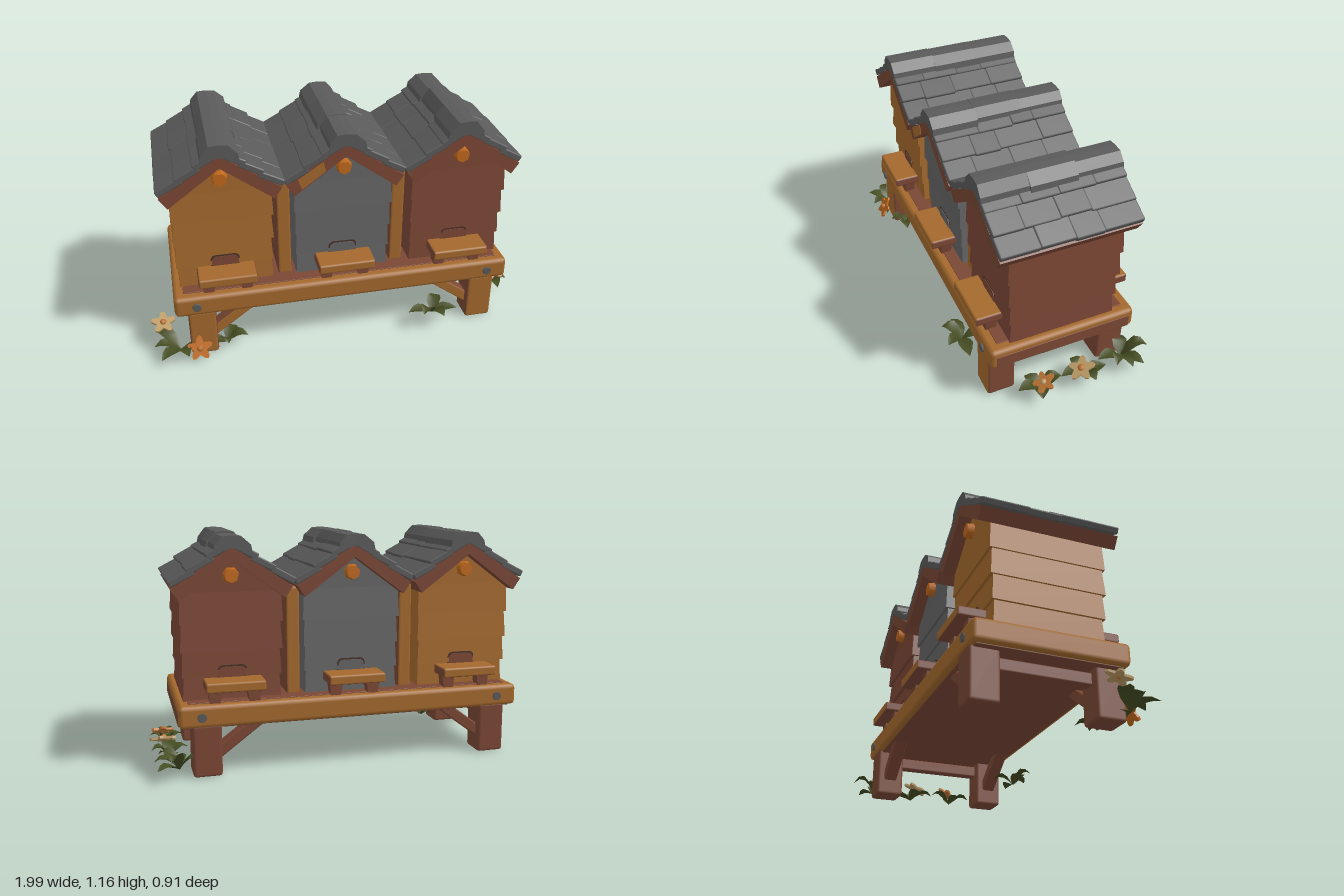
import * as THREE from 'three';
import { RoundedBoxGeometry } from 'three/addons/geometries/RoundedBoxGeometry.js';

const mat = (name, color, extra = {}) => {
  const m = new THREE.MeshStandardMaterial({ color, ...extra });
  m.name = name;
  return m;
};

export function createModel() {
  const ochre = mat('ochre wood', 0xa4692d);
  const brown = mat('red brown wood', 0x7b4735);
  const grey = mat('grey wood', 0x656565);
  const slate = mat('roof grey', 0x5a5a5a);
  const orange = mat('orange knob', 0xc0691c);
  const dark = mat('dark opening', 0x4a3328);
  const leafGreen = mat('leaf green', 0x454d22, { side: THREE.DoubleSide });
  const tan = mat('tan petals', 0xbd9c66);
  const rust = mat('orange petals', 0xbd7434);

  const model = new THREE.Group();
  model.name = 'hiveStand';
  const stand = new THREE.Group();
  stand.name = 'benchAndHives';
  stand.position.z = -0.01;
  model.add(stand);

  let seed = 7;
  const jitter = (a) => {
    seed = (seed * 16807) % 2147483647;
    return (seed / 2147483647 - 0.5) * 2 * a;
  };
  const add = (parent, name, geo, material, x = 0, y = 0, z = 0) => {
    const m = new THREE.Mesh(geo, material);
    m.name = name;
    m.position.set(x, y, z);
    parent.add(m);
    return m;
  };
  const block = (parent, name, w, h, d, material, x, y, z, r = 0.012) =>
    add(parent, name, new RoundedBoxGeometry(w, h, d, 1, r), material, x, y, z);
  const prism = (points, depth) => {
    const shape = new THREE.Shape(points.map(([x, y]) => new THREE.Vector2(x, y)));
    return new THREE.ExtrudeGeometry(shape, { depth, bevelEnabled: false }).translate(0, 0, -depth / 2);
  };
  // Side order: +x, -x, +y, -y, +z, -z
  const weathered = [brown, brown, ochre, brown, ochre, ochre];

  // Bench top with worn areas
  block(stand, 'benchTop', 1.74, 0.11, 0.755, ochre, 0, 0.31, 0, 0.022);
  block(stand, 'benchUnderside', 1.68, 0.008, 0.7, brown, 0, 0.254, 0, 0.003);
  block(stand, 'benchWornTop', 1.64, 0.006, 0.66, brown, 0, 0.366, 0, 0.002);
  block(stand, 'benchWornEnd', 0.006, 0.065, 0.7, brown, 0.869, 0.298, 0, 0.002);

  // Legs, diagonal braces and cross bars
  for (const sx of [-1, 1]) {
    for (const sz of [-1, 1]) {
      const faces = [brown, brown, brown, brown, sz > 0 ? ochre : brown, brown];
      block(stand, 'leg', 0.14, 0.26, 0.145, faces, sx * 0.737, 0.14, sz * 0.297, 0.015);
      const brace = block(stand, 'brace', 0.3, 0.055, 0.07, faces, sx * 0.58, 0.19, sz * 0.297, 0.008);
      brace.rotation.z = -sx * 0.64;
      const patch = add(stand, 'cornerPatch', new THREE.CylinderGeometry(0.022, 0.026, 0.016, 7), slate,
        sx * 0.76, 0.308, sz * 0.378);
      patch.rotation.x = sz * Math.PI / 2;
    }
    block(stand, 'crossBar', 0.06, 0.06, 0.5, brown, sx * 0.737, 0.21, 0, 0.008);
  }

  // Clapboard: a box whose bottom edge flares beyond its top edge
  const clapboard = (w, h, d, flare) => {
    const g = new THREE.BoxGeometry(w, h, d);
    const p = g.attributes.position;
    for (let i = 0; i < p.count; i++) {
      const f = p.getY(i) < 0 ? flare : 0;
      p.setX(i, p.getX(i) + Math.sign(p.getX(i)) * f);
      p.setZ(i, p.getZ(i) + Math.sign(p.getZ(i)) * f);
    }
    g.computeVertexNormals();
    return g;
  };

  // Roof: wooden chevron, overlapping shingles and a ridge cap
  const buildRoof = (hive) => {
    add(hive, 'roofFrame', prism([[-0.288, 0.915], [-0.25, 0.86], [0, 1.045], [0.25, 0.86],
      [0.288, 0.915], [0, 1.108]], 0.69), brown);
    for (const side of [0, 1]) {
      const half = new THREE.Group();
      half.name = 'roofSlope';
      half.rotation.y = side * Math.PI;
      const slope = new THREE.Group();
      slope.position.y = 1.1;
      slope.rotation.z = -0.588;
      half.add(slope);
      hive.add(half);
      for (let row = 0; row < 3; row++) {
        const cuts = [-0.345, -0.17 + jitter(0.06), 0.0 + jitter(0.06), 0.17 + jitter(0.06), 0.345];
        for (let k = 0; k < 4; k++) {
          const shingle = block(slope, 'shingle', 0.135 + jitter(0.008), 0.034, cuts[k + 1] - cuts[k] + 0.004, slate,
            0.055 + row * 0.108 + jitter(0.004), 0.022 + jitter(0.003), (cuts[k] + cuts[k + 1]) / 2, 0.007);
          shingle.rotation.z = 0.1 + jitter(0.02);
        }
      }
    }
    for (let k = 0; k < 3; k++) {
      const t = jitter(0.005), w = jitter(0.008);
      add(hive, 'ridgeCap', prism([[-0.095 + w, 1.07], [0, 1.1], [0.095 + w, 1.07], [0.085 + w, 1.115],
        [0.045, 1.158 + t], [0, 1.162 + t], [-0.045, 1.158 + t], [-0.085 + w, 1.115]], 0.232),
        slate, 0, 0, (k - 1) * 0.231);
    }
  };

  // Entrance arch outline
  const arch = (w, h) => {
    const r = 0.03;
    const s = new THREE.Shape();
    s.moveTo(-w / 2, 0).lineTo(w / 2, 0).lineTo(w / 2, h - r);
    s.quadraticCurveTo(w / 2, h, w / 2 - r, h).lineTo(-w / 2 + r, h);
    s.quadraticCurveTo(-w / 2, h, -w / 2, h - r);
    return new THREE.ExtrudeGeometry(s, { depth: 0.006, bevelEnabled: false });
  };

  const buildHive = (name, x, wood, doorWood) => {
    const hive = new THREE.Group();
    hive.name = name;
    hive.position.x = x;
    stand.add(hive);
    // Siding widens gently towards the roof
    const levels = [0.36, 0.48, 0.605, 0.738, 0.89];
    for (let i = 0; i < 4; i++) {
      const h = levels[i + 1] - levels[i];
      add(hive, 'sidingBoard', clapboard(0.464 + i * 0.006, h, 0.526 + i * 0.012, 0.007 + jitter(0.002)),
        wood, jitter(0.002), levels[i] + h / 2, 0);
    }
    add(hive, 'gable', prism([[-0.245, 0.87], [0.245, 0.87], [0, 1.065]], 0.562), wood);
    buildRoof(hive);
    // Both faces carry a knob, an entrance and a landing board
    for (const s of [0, 1]) {
      const face = new THREE.Group();
      face.name = s ? 'backFittings' : 'frontFittings';
      face.rotation.y = s * Math.PI;
      hive.add(face);
      const knob = add(face, 'knob', new THREE.CylinderGeometry(0.034, 0.042, 0.04, 7), orange, 0, 0.968, 0.295);
      knob.rotation.x = Math.PI / 2;
      add(face, 'entranceRim', arch(0.145, 0.064), dark, 0, 0.47, 0.268);
      add(face, 'entrance', arch(0.132, 0.056), doorWood, 0, 0.47, 0.271);
      block(face, 'landingBoard', 0.288, 0.048, 0.14, weathered, 0, 0.451, 0.33, 0.01);
      for (const b of [-1, 1]) {
        add(face, 'bracket', prism([[-0.025, 0.36], [0.025, 0.36], [0.035, 0.44], [-0.035, 0.44]], 0.055),
          brown, b * 0.095, 0, 0.315);
      }
    }
    return hive;
  };
  buildHive('ochreHive', -0.597, ochre, brown);
  const middle = buildHive('greyHive', 0, grey, grey);
  buildHive('brownHive', 0.597, brown, brown);

  // Worn paint on the middle roof frame
  add(middle, 'wornRoofEdge', prism([[-0.235, 0.945], [-0.215, 0.893], [-0.1, 0.978], [-0.11, 1.028]], 0.004),
    ochre, 0, 0, 0.346);

  // Posts filling the gaps between hives
  for (const x of [-0.294, 0.291]) {
    block(stand, 'dividerPost', 0.07, 0.54, 0.5, [brown, brown, ochre, brown, ochre, ochre], x, 0.63, 0);
  }

  // Leaf: a plane narrowed to a point, folded along its middle and arched
  const leafGeometry = (len, width, rise) => {
    const g = new THREE.PlaneGeometry(1, 1, 2, 4);
    const p = g.attributes.position;
    for (let i = 0; i < p.count; i++) {
      const u = p.getX(i) * 2, t = p.getY(i) + 0.5;
      const w = width * (0.12 + 0.88 * Math.sin(Math.PI * Math.pow(t, 0.8))) * (t === 1 ? 0.1 : 1);
      p.setXYZ(i, u * w / 2, rise * Math.sin(t * 2.3) + Math.abs(u) * w * 0.2, t * len);
    }
    g.computeVertexNormals();
    return g;
  };
  // Each leaf: heading angle (0 = +z, 90 = +x), length, rise
  const plant = (x, y, z, leaves) => {
    const clump = new THREE.Group();
    clump.name = 'leafClump';
    clump.position.set(x, y, z);
    for (const [deg, len, rise] of leaves) {
      const leaf = add(clump, 'leaf', leafGeometry(len, 0.075, rise), leafGreen);
      leaf.rotation.y = deg * Math.PI / 180;
    }
    model.add(clump);
  };
  plant(-0.86, 0.04, 0.34, [[-90, 0.13, 0.05], [-45, 0.14, 0.03], [-130, 0.15, 0.07], [20, 0.11, 0.04], [70, 0.15, 0.02]]);
  plant(-0.62, 0.03, 0.31, [[80, 0.11, 0.05], [-80, 0.1, 0.02], [0, 0.08, 0.06], [150, 0.1, 0.04]]);
  plant(0.47, 0.08, 0.36, [[-85, 0.13, 0.03], [85, 0.14, 0.02], [25, 0.1, 0.04], [-40, 0.11, 0.07], [150, 0.11, 0.05]]);
  plant(0.9, 0.05, 0.12, [[0, 0.12, 0.05], [180, 0.11, 0.06], [70, 0.09, 0.04], [-60, 0.1, 0.03]]);
  plant(0.9, 0.05, -0.12, [[0, 0.13, 0.05], [180, 0.12, 0.02], [100, 0.09, 0.05], [-70, 0.1, 0.04]]);
  plant(0.87, 0.05, -0.34, [[0, 0.13, 0.04], [160, 0.13, 0.1], [90, 0.12, 0.06], [50, 0.12, 0.08], [125, 0.13, 0.03], [-110, 0.1, 0.06]]);

  // Five-petalled flowers
  const flower = (x, y, z, r, petals, heart, rx, rz) => {
    const pts = Array.from({ length: 30 }, (_, i) => {
      const a = i / 30 * Math.PI * 2, q = r * (0.76 + 0.24 * Math.cos(5 * a));
      return [q * Math.cos(a), q * Math.sin(a)];
    });
    const f = new THREE.Group();
    f.name = 'flower';
    f.position.set(x, y, z);
    f.rotation.set(rx, 0, rz);
    add(f, 'petals', prism(pts, 0.012), petals);
    add(f, 'flowerHeart', new THREE.SphereGeometry(r * 0.25, 8, 6), heart, 0, 0, 0.006);
    model.add(f);
  };
  flower(-0.935, 0.155, 0.25, 0.066, tan, rust, -1.25, 0.3);
  flower(-0.765, 0.075, 0.395, 0.066, orange, rust, -0.5, 0.3);
  flower(0.925, 0.13, -0.085, 0.07, tan, rust, -1.15, 0);
  flower(0.92, 0.115, 0.115, 0.06, rust, tan, -1.05, 0.4);

  return model;
}
